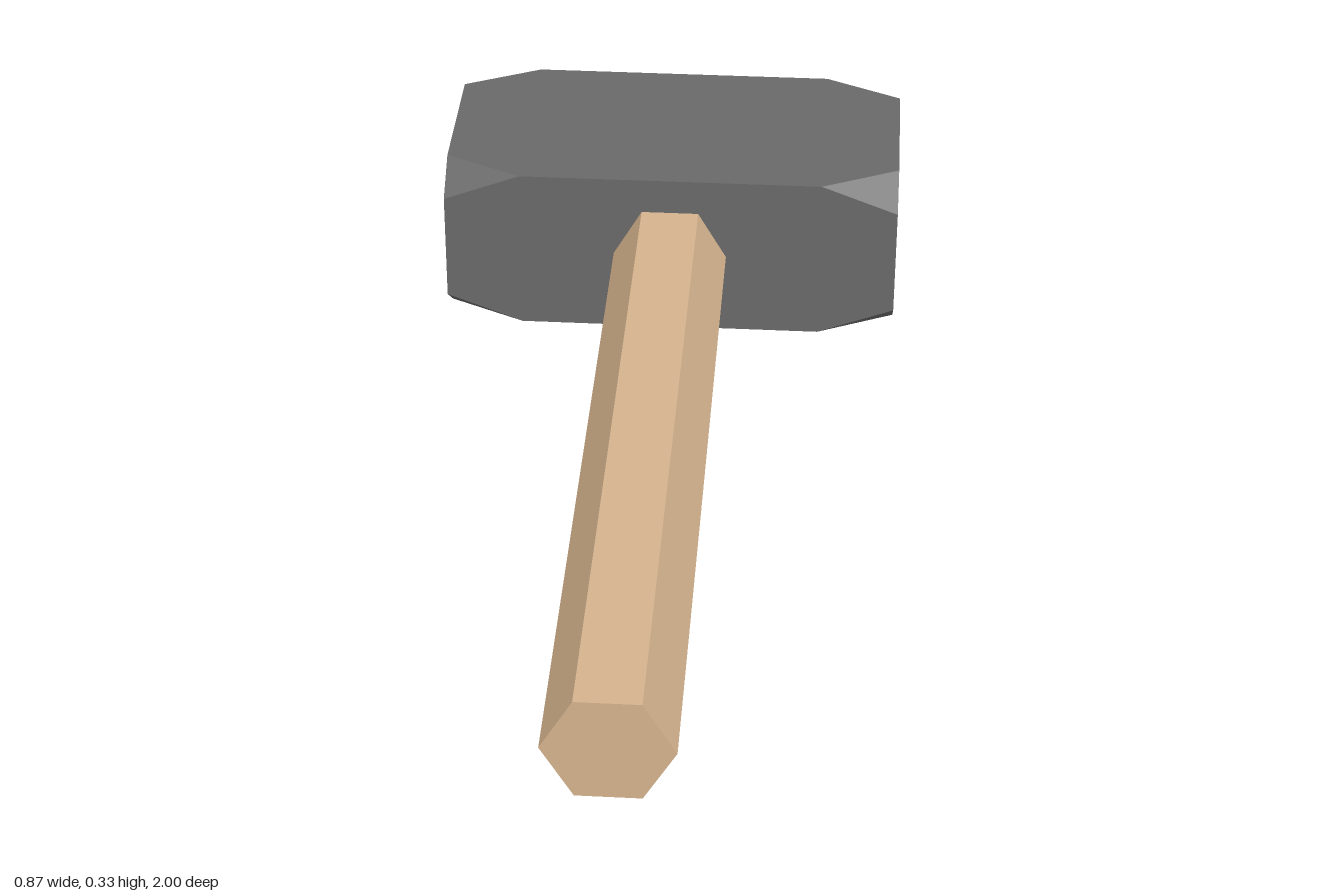
import * as THREE from 'three';
import { ConvexGeometry } from 'three/addons/geometries/ConvexGeometry.js';

export function createModel() {
  const model = new THREE.Group();
  model.name = 'hammer';

  const wood = new THREE.MeshStandardMaterial({ color: 0xd5b38d, flatShading: true });
  wood.name = 'wood';
  const iron = new THREE.MeshStandardMaterial({ color: 0x696969, flatShading: true });
  iron.name = 'dark iron';

  const centreY = 0.164;

  // Hexagonal handle running front to back, corners pointing left and right
  const handleGeometry = new THREE.CylinderGeometry(0.109, 0.109, 2, 6, 1, false, Math.PI / 6);
  handleGeometry.rotateX(Math.PI / 2);
  const handle = new THREE.Mesh(handleGeometry, wood);
  handle.name = 'handle';
  handle.position.y = centreY;
  model.add(handle);

  // Block head with its eight corners cut off
  const half = new THREE.Vector3(0.437, centreY, 0.2175);
  const cut = new THREE.Vector3(0.147, 0.056, 0.073);
  const points = [];
  for (const sx of [-1, 1]) for (const sy of [-1, 1]) for (const sz of [-1, 1]) {
    const sign = new THREE.Vector3(sx, sy, sz);
    for (const axis of ['x', 'y', 'z']) {
      const p = half.clone();
      p[axis] -= cut[axis];
      points.push(p.multiply(sign));
    }
  }
  const head = new THREE.Mesh(new ConvexGeometry(points), iron);
  head.name = 'head';
  head.position.set(0, centreY, -0.709);
  model.add(head);

  return model;
}
